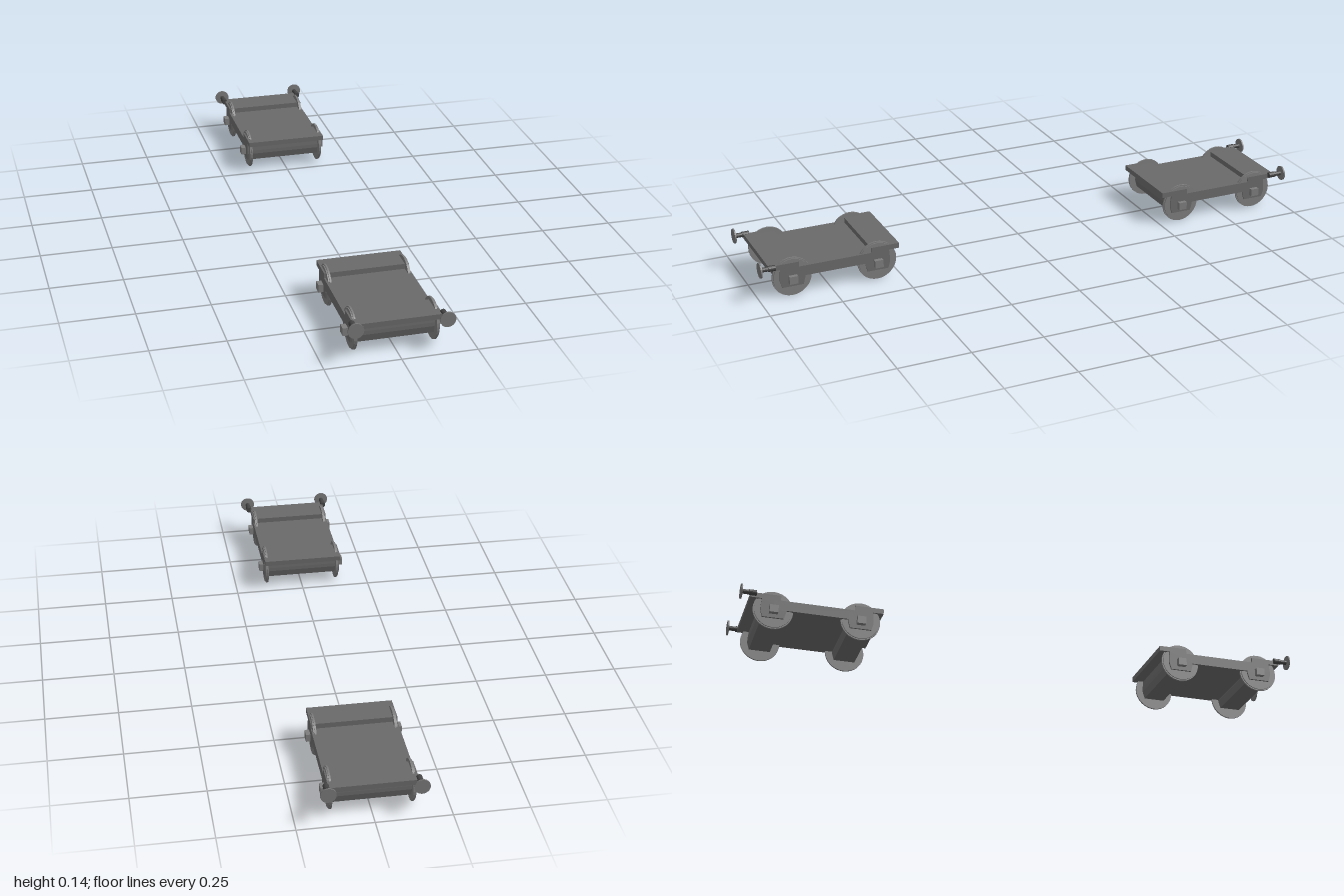
import * as THREE from 'three';

const paint = (color) => new THREE.MeshStandardMaterial({ color, flatShading: true });
const bodyPaint = paint(0x696969);
const wheelPaint = paint(0x7c7c7c);
const headPaint = paint(0x777777);
const stemPaint = paint(0x444444);

function add(parent, name, geometry, material, x, y, z) {
  const mesh = new THREE.Mesh(geometry, material);
  mesh.name = name;
  mesh.position.set(x, y, z);
  parent.add(mesh);
  return mesh;
}

const BODY_X = -0.002; // the frames sit slightly off centre
const WIDTH = 0.288;

// Spins a profile of [radius, height] points around y
function lathe(points, segments) {
  return new THREE.LatheGeometry(points.map(([r, h]) => new THREE.Vector2(r, h)), segments);
}

// Faceted cross beam that carries an axle, extruded across the truck
function beamGeometry() {
  const shape = new THREE.Shape([
    [-0.037, 0.037], [0.037, 0.037], [0.044, 0.062], [0.044, 0.075],
    [0.041, 0.104], [-0.041, 0.104], [-0.044, 0.075], [-0.044, 0.062],
  ].map(([a, b]) => new THREE.Vector2(a, b)));
  return new THREE.ExtrudeGeometry(shape, { depth: WIDTH, bevelEnabled: false })
    .translate(0, 0, -WIDTH / 2).rotateY(Math.PI / 2);
}

// Wheel with a wider inner flange; outward is +x
function wheelGeometry() {
  return lathe([[0, -0.005], [0.069, -0.005], [0.069, 0.001], [0.065, 0.001], [0.065, 0.005], [0, 0.005]], 32)
    .rotateZ(-Math.PI / 2);
}

// Bumper stem, thicker where it meets the frame, and its thin round head; outward is +z
function stemGeometry() {
  return lathe([[0, -0.055], [0.01, -0.055], [0.01, -0.03], [0.008, -0.03], [0.008, -0.005]], 16)
    .rotateX(Math.PI / 2);
}
function headGeometry() {
  return lathe([[0, -0.007], [0.026, -0.005], [0.026, 0], [0, 0]], 24).rotateX(Math.PI / 2);
}

function createTruck(dir) {
  const truck = new THREE.Group();
  truck.name = dir > 0 ? 'frontTruck' : 'rearTruck';

  // Lower deck and the raised end plates
  const slab = (name, height, length, y, z) =>
    add(truck, name, new THREE.BoxGeometry(WIDTH, height, length), bodyPaint, BODY_X, y, dir * z);
  slab('deck', 0.036, 0.3, 0.086, 0.735);
  slab('innerEndPlate', 0.018, 0.1, 0.113, 0.556);
  slab('outerEndPlate', 0.018, 0.104, 0.113, 0.913);

  // Cross beams, wheels and square axle ends
  for (const z of [0.584, 0.885]) {
    add(truck, 'crossBeam', beamGeometry(), bodyPaint, BODY_X, 0, dir * z);
    for (const side of [-1, 1]) {
      const wheel = add(truck, 'wheel', wheelGeometry(), wheelPaint, side * 0.134 - 0.001, 0.069, dir * z);
      if (side < 0) wheel.rotation.y = Math.PI;
      add(truck, 'axleEnd', new THREE.BoxGeometry(0.03, 0.027, 0.03), wheelPaint,
        side * 0.145 - 0.003, 0.064, dir * z);
    }
  }

  // Pair of bumpers on the outer end
  for (const side of [-1, 1]) {
    const bumper = new THREE.Group();
    bumper.name = 'bumper';
    add(bumper, 'bumperStem', stemGeometry(), stemPaint, 0, 0, 0);
    add(bumper, 'bumperHead', headGeometry(), headPaint, 0, 0, 0);
    bumper.position.set(side * 0.148, 0.119, dir);
    if (dir < 0) bumper.rotation.y = Math.PI;
    truck.add(bumper);
  }
  return truck;
}

export function createModel() {
  const model = new THREE.Group();
  model.name = 'railTrucks';
  for (const dir of [1, -1]) model.add(createTruck(dir));
  return model;
}
